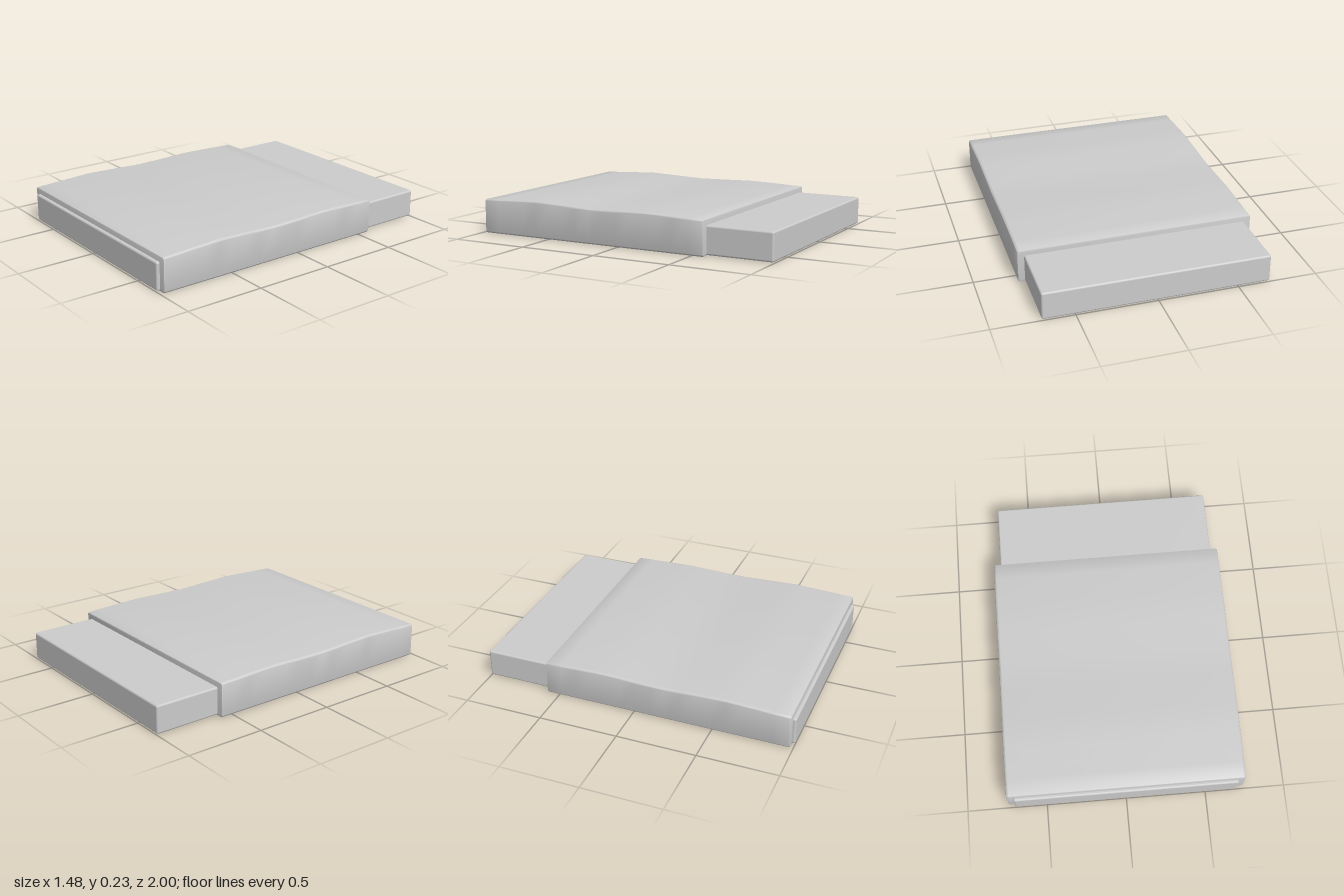
import * as THREE from 'three';
import { toCreasedNormals } from 'three/addons/utils/BufferGeometryUtils.js';
import { RoundedBoxGeometry } from 'three/addons/geometries/RoundedBoxGeometry.js';

const material = new THREE.MeshStandardMaterial({ color: 0xcccccc });

// Upper-surface heights of the cover, evenly spaced from back to front
const WAVE = [0.217, 0.225, 0.23, 0.224, 0.22, 0.228, 0.235, 0.226, 0.217];
const BACK = -0.58, FRONT = 0.98;

function waveHeight(z) {
  const t = THREE.MathUtils.clamp((z - BACK) / (FRONT - BACK), 0, 1) * (WAVE.length - 1);
  const i = Math.min(Math.floor(t), WAVE.length - 2);
  return THREE.MathUtils.lerp(WAVE[i], WAVE[i + 1], t - i);
}

function roundedRect(halfWidth, height, r) {
  const s = new THREE.Shape();
  s.moveTo(-halfWidth + r, 0);
  s.absarc(halfWidth - r, r, r, -Math.PI / 2, 0);
  s.absarc(halfWidth - r, height - r, r, 0, Math.PI / 2);
  s.absarc(-halfWidth + r, height - r, r, Math.PI / 2, Math.PI);
  s.absarc(-halfWidth + r, r, r, Math.PI, Math.PI * 1.5);
  return s;
}

// Bevelled block running along z, its top raised to follow the wave
function coverGeometry() {
  const height = 0.22, bevel = 0.008;
  const g = new THREE.ExtrudeGeometry(roundedRect(0.742, height, 0.016), {
    depth: FRONT - BACK - 2 * bevel, steps: 16, curveSegments: 3,
    bevelThickness: bevel, bevelSize: bevel, bevelOffset: -bevel, bevelSegments: 2,
  });
  g.translate(0, 0, BACK + bevel);
  const p = g.attributes.position;
  for (let i = 0; i < p.count; i++) {
    if (p.getY(i) > height / 2) p.setY(i, p.getY(i) + waveHeight(p.getZ(i)) - height);
  }
  return toCreasedNormals(g, 0.7);
}

export function createModel() {
  const group = new THREE.Group();

  // Mattress showing at the head and just past the foot
  const mattress = new THREE.Mesh(new RoundedBoxGeometry(1.4, 0.176, 2, 3, 0.012), material);
  mattress.name = 'mattress';
  mattress.position.y = 0.005 + 0.088;
  group.add(mattress);

  // Wavy blanket wrapped around the mattress
  const blanket = new THREE.Mesh(coverGeometry(), material);
  blanket.name = 'blanket';
  group.add(blanket);

  return group;
}
